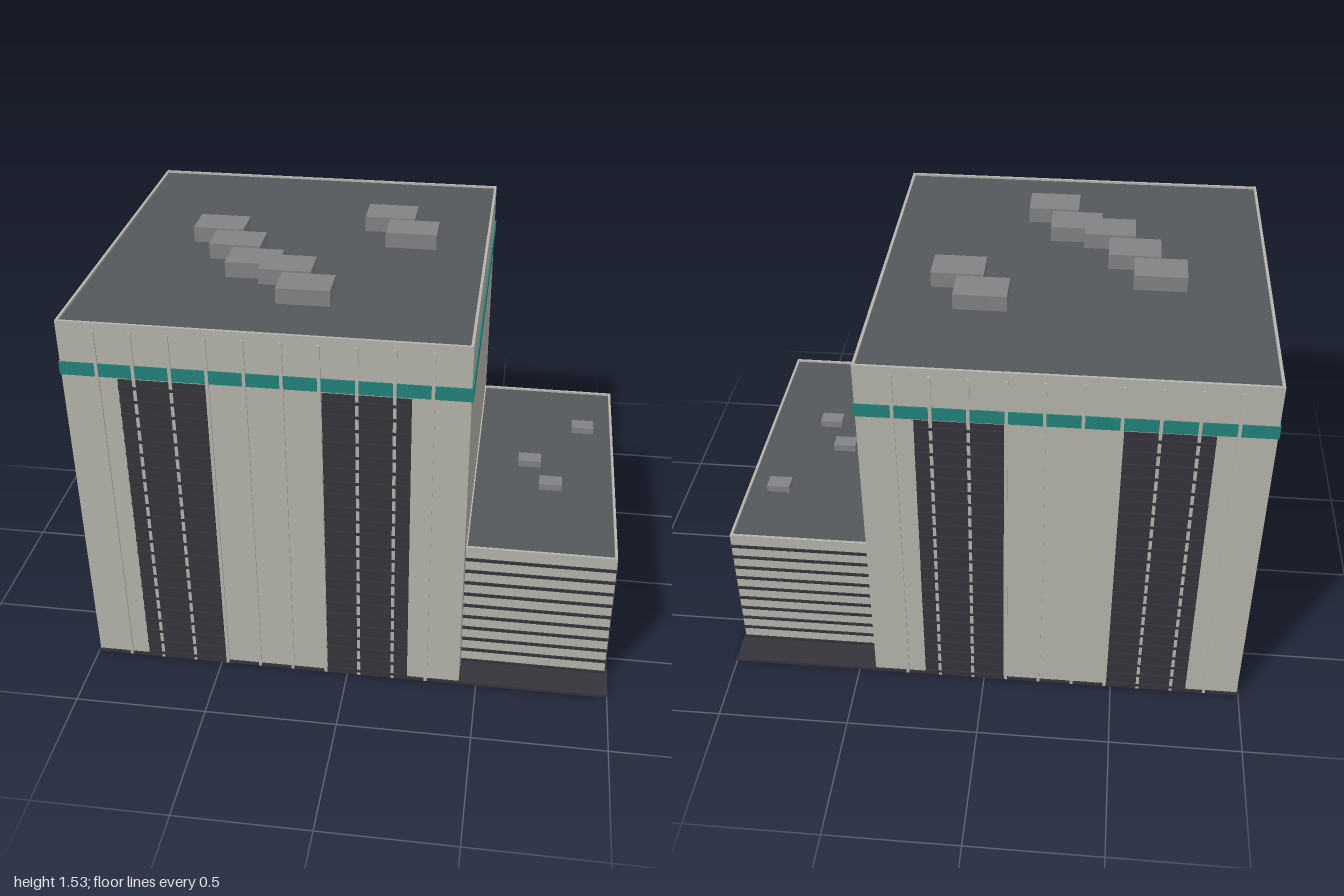
import * as THREE from 'three';

const mat = (name, color) => {
  const m = new THREE.MeshStandardMaterial({ color });
  m.name = name;
  return m;
};

export function createModel() {
  const concrete = mat('concrete', 0xb5b4ac);
  const roofGrey = mat('roofGrey', 0x54585a);
  const darkGlass = mat('darkGlass', 0x36343b);
  const teal = mat('teal', 0x22837b);
  const unitGrey = mat('unitGrey', 0x838386);

  const model = new THREE.Group();
  model.name = 'officeBuilding';
  const group = (name) => {
    const g = new THREE.Group();
    g.name = name;
    model.add(g);
    return g;
  };

  // Box given by its extents on each axis
  function box(parent, name, material, [x0, x1], [y0, y1], [z0, z1]) {
    const mesh = new THREE.Mesh(new THREE.BoxGeometry(x1 - x0, y1 - y0, z1 - z0), material);
    mesh.position.set((x0 + x1) / 2, (y0 + y1) / 2, (z0 + z1) / 2);
    mesh.name = name;
    parent.add(mesh);
  }

  // Concrete block with a sunken roof behind a thin parapet
  function block(parent, name, x0, x1, z, top) {
    const rim = 0.01, deck = top - 0.008;
    box(parent, name + 'Walls', concrete, [x0, x1], [0.004, deck - 0.003], [-z, z]);
    box(parent, name + 'Roof', roofGrey, [x0 + rim, x1 - rim], [deck - 0.003, deck], [-z + rim, z - rim]);
    for (const s of [-1, 1]) {
      const zs = [s * z, s * (z - rim)].sort((a, b) => a - b);
      box(parent, name + 'Parapet', concrete, [x0, x1], [deck - 0.003, top], zs);
      const x = s < 0 ? x0 : x1 - rim;
      box(parent, name + 'Parapet', concrete, [x, x + rim], [deck - 0.003, top], [-z + rim, z - rim]);
    }
  }

  // Ground slab
  box(model, 'groundSlab', darkGlass, [-0.999, 1], [0, 0.012], [-0.725, 0.725]);

  // Tower and its coloured band
  const tower = group('tower');
  const X0 = -0.994, X1 = 0.434, Z = 0.72;
  block(tower, 'tower', X0, X1, Z, 1.475);
  box(tower, 'tealBand', teal, [X0 - 0.004, X1 + 0.006], [1.267, 1.318], [-0.724, 0.724]);

  // Vertical fins on the front, back and left-hand end wall
  const fins = group('fins');
  const finTop = 1.445, w = 0.006;
  for (let i = 0; i < 10; i++) {
    const x = -0.865 + i * 0.13, z = -0.585 + i * 0.13;
    box(fins, 'frontFin', concrete, [x - w, x + w], [0, finTop], [Z - 0.005, 0.7258]);
    box(fins, 'backFin', concrete, [x - w, x + w], [0, finTop], [-0.7258, -Z + 0.005]);
    box(fins, 'endFin', concrete, [-1, X0 + 0.005], [0, finTop], [z - w, z + w]);
  }

  // Tall window strips with a ledge on every floor
  const windows = group('windowStrips');
  for (const xs of [[-0.793, -0.483], [-0.077, 0.233]]) {
    for (const s of [-1, 1]) {
      const zs = (a, b) => (s > 0 ? [a, b] : [-b, -a]);
      box(windows, 'windowStrip', darkGlass, xs, [0.005, 1.262], zs(Z - 0.005, 0.7225));
      for (let i = 0; i < 23; i++) {
        const y = 0.02 + i * 0.055;
        box(windows, 'windowLedge', darkGlass, xs, [y - 0.006, y + 0.006], zs(Z - 0.005, 0.7275));
      }
    }
  }

  // Low annex with ribbon windows all round
  const annex = group('annex');
  block(annex, 'annex', X1 - 0.005, 0.991, 0.605, 0.57);
  for (let i = 0; i < 10; i++) {
    const y = 0.02 + i * 0.055;
    box(annex, 'ribbonWindow', darkGlass, [X1, 0.995], [y - 0.0065, y + 0.0065], [-0.609, 0.609]);
  }

  // Rooftop units: x, z centres
  const units = group('roofUnits');
  const place = (list, hx, hz, y0, y1) => list.forEach(([x, z]) =>
    box(units, 'roofUnit', unitGrey, [x - hx, x + hx], [y0, y1], [z - hz, z + hz]));
  place([[-0.593, -0.072], [-0.498, 0.072], [-0.403, 0.222], [-0.273, 0.265], [-0.18, 0.412],
    [0.045, -0.262], [0.142, -0.117]], 0.097, 0.066, 1.464, 1.527);
  place([[0.65, -0.008], [0.737, 0.15], [0.865, -0.293]], 0.045, 0.031, 0.56, 0.59);

  return model;
}
